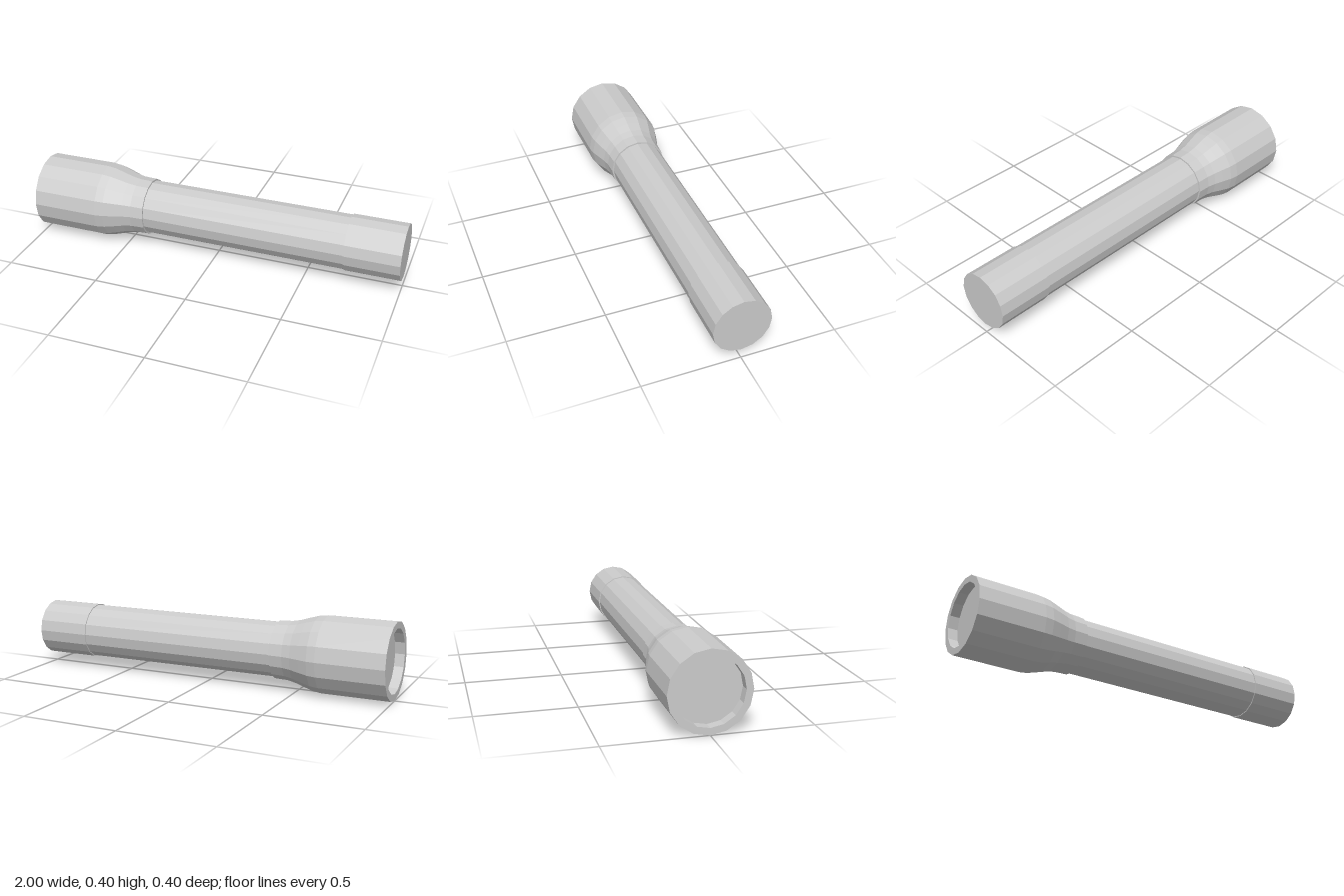
import * as THREE from 'three';

const SIDES = 16;
const AXIS_Y = 0.201;

// Turns a [position along x, radius] profile around the torch's long axis
function turned(name, profile, material) {
  const points = profile.map(([x, r]) => new THREE.Vector2(r, x));
  const geometry = new THREE.LatheGeometry(points, SIDES);
  geometry.rotateZ(-Math.PI / 2);
  const mesh = new THREE.Mesh(geometry, material);
  mesh.name = name;
  mesh.position.y = AXIS_Y;
  return mesh;
}

export function createModel() {
  const group = new THREE.Group();
  group.name = 'flashlight';
  const material = new THREE.MeshStandardMaterial({ color: 0xcccccc, flatShading: true });

  // Flared head: recess wall, front rim, barrel, curved neck and collar
  group.add(turned('head', [
    [-0.95, 0.166], [-1, 0.166], [-1, 0.201], [-0.645, 0.201],
    [-0.6, 0.195], [-0.55, 0.18], [-0.5, 0.164], [-0.455, 0.155],
    [-0.385, 0.1525], [-0.385, 0.14],
  ], material));

  // Flat lens set back inside the rim
  group.add(turned('lens', [[-0.95, 0], [-0.95, 0.166]], material));

  // Handle tube running from the collar to the tail cap
  group.add(turned('handle', [[-0.4, 0.144], [0.72, 0.144]], material));

  // Slightly wider tail cap with a closed end
  group.add(turned('tailCap', [
    [0.71, 0.14], [0.71, 0.149], [1, 0.149], [1, 0],
  ], material));

  return group;
}
